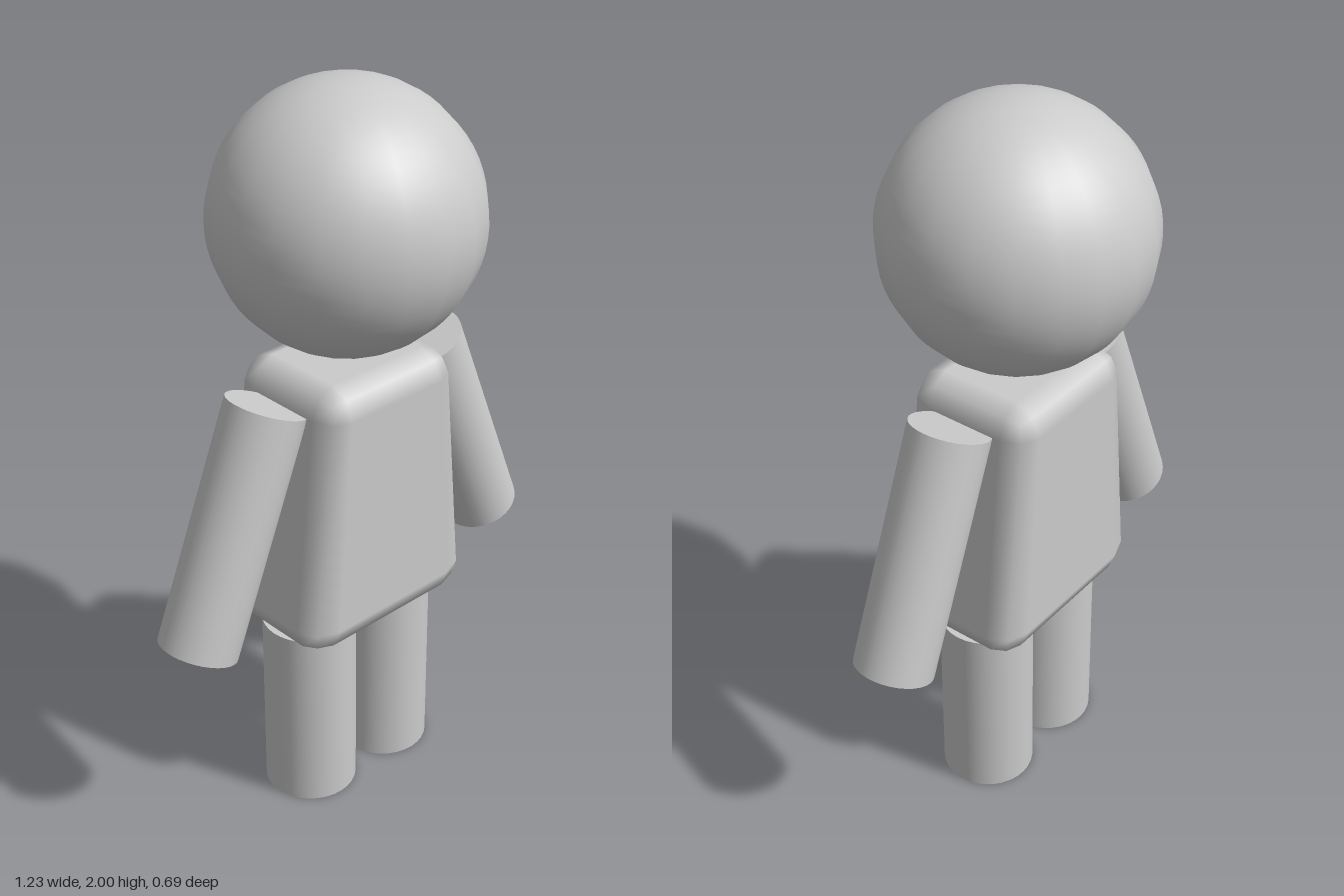
import * as THREE from 'three';
import { RoundedBoxGeometry } from 'three/addons/geometries/RoundedBoxGeometry.js';

const grey = new THREE.MeshStandardMaterial({ color: 0xcccccc });

function addPart(group, name, geometry, x, y, tilt = 0) {
  const mesh = new THREE.Mesh(geometry, grey);
  mesh.name = name;
  mesh.position.set(x, y, 0);
  mesh.rotation.z = tilt;
  group.add(mesh);
}

// Bevelled box that narrows towards the shoulders
function torsoGeometry() {
  const geometry = new RoundedBoxGeometry(0.5, 0.755, 0.37, 1, 0.075);
  const pos = geometry.attributes.position;
  const normal = geometry.attributes.normal;
  const slope = -0.4;
  const n = new THREE.Vector3();
  for (let i = 0; i < pos.count; i++) {
    const x = pos.getX(i);
    const k = 1 + slope * pos.getY(i);
    pos.setX(i, x * k);
    n.fromBufferAttribute(normal, i);
    n.set(n.x / k, n.y - (n.x * x * slope) / k, n.z).normalize();
    normal.setXYZ(i, n.x, n.y, n.z);
  }
  return geometry;
}

export function createModel() {
  const group = new THREE.Group();
  group.name = 'figure';

  addPart(group, 'head', new THREE.SphereGeometry(0.345, 20, 32), 0, 1.655);
  addPart(group, 'torso', torsoGeometry(), 0, 0.9125);

  // Mirrored limbs, arms splayed outwards
  const arm = new THREE.CylinderGeometry(0.106, 0.106, 0.662, 32);
  const leg = new THREE.CylinderGeometry(0.126, 0.126, 0.54, 32);
  for (const [side, s] of [['left', 1], ['right', -1]]) {
    addPart(group, side + 'Arm', arm, s * 0.393, 0.927, s * 0.383);
    addPart(group, side + 'Leg', leg, s * 0.138, 0.27);
  }
  return group;
}
